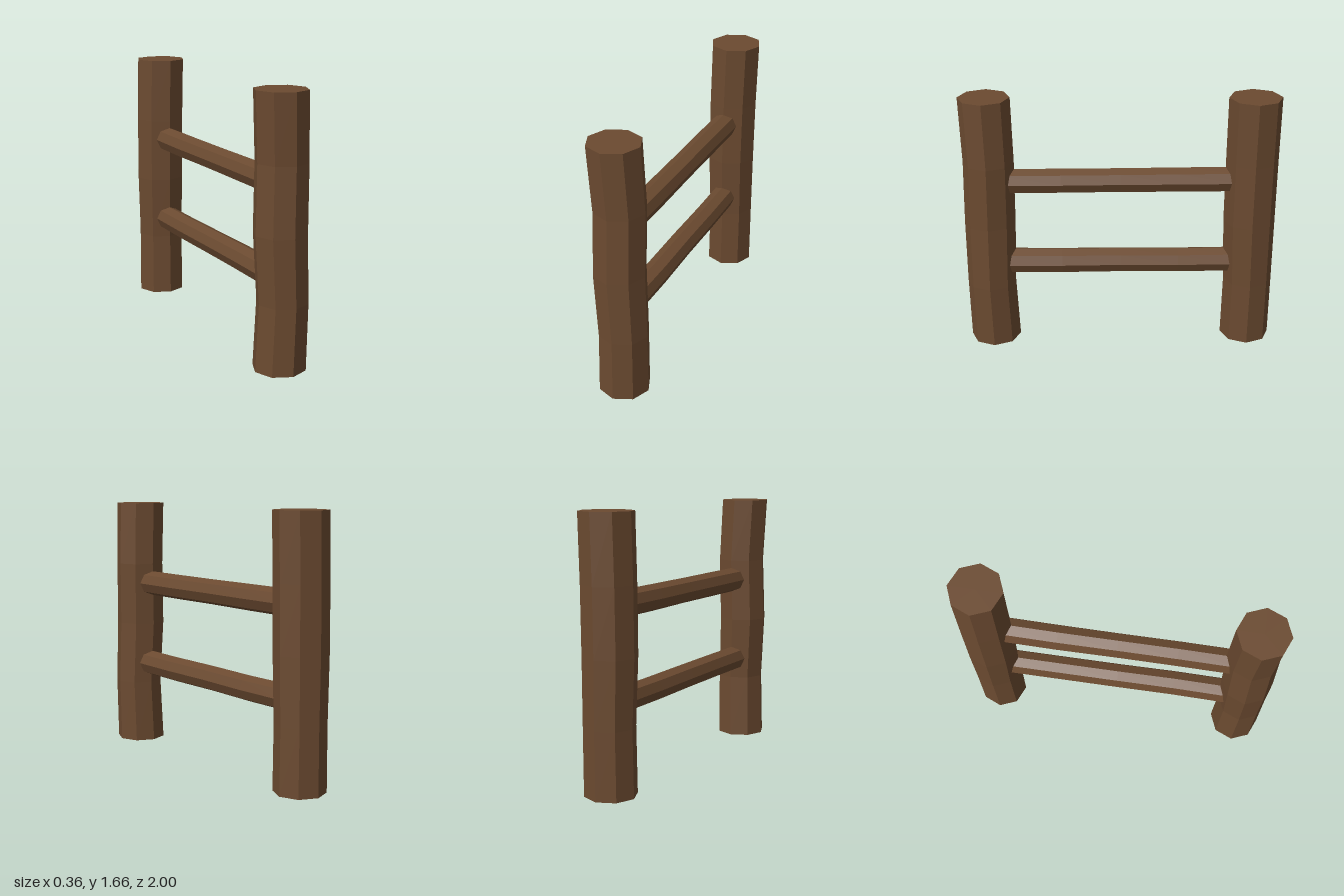
import * as THREE from 'three';

const SIDES = 8;

// Eight-sided log standing on y = 0; each ring is [centre x, centre z, radius], bottom to top
function logGeometry(length, rings) {
  const steps = rings.length - 1;
  const geometry = new THREE.CylinderGeometry(1, 1, length, SIDES, steps);
  geometry.translate(0, length / 2, 0);
  const p = geometry.attributes.position;
  for (let i = 0; i < p.count; i++) {
    const [cx, cz, r] = rings[Math.round((p.getY(i) / length) * steps)];
    p.setX(i, p.getX(i) * r + cx);
    p.setZ(i, p.getZ(i) * r + cz);
  }
  geometry.computeVertexNormals();
  return geometry;
}

export function createModel() {
  const group = new THREE.Group();
  const wood = new THREE.MeshStandardMaterial({ color: 0x6b4a30, flatShading: true });

  const add = (name, geometry) => {
    const mesh = new THREE.Mesh(geometry, wood);
    mesh.name = name;
    group.add(mesh);
    return mesh;
  };

  // Upright posts, slightly crooked
  add('frontPost', logGeometry(1.665, [
    [0, 0.837, 0.163],
    [0.01, 0.845, 0.157],
    [-0.007, 0.838, 0.163],
    [0.002, 0.828, 0.16],
    [-0.016, 0.838, 0.162],
  ]));
  add('backPost', logGeometry(1.665, [
    [0, -0.839, 0.161],
    [0.002, -0.842, 0.158],
    [-0.002, -0.834, 0.166],
    [0.002, -0.833, 0.166],
    [0.012, -0.833, 0.166],
  ]));

  // Horizontal rails, ends buried in the posts
  const railLength = 1.5;
  const rails = [
    ['lowerRail', 0.552, [
      [-0.002, 0.002, 0.082], [0, 0.004, 0.082], [0, 0, 0.082],
      [0.004, 0, 0.083], [0, -0.002, 0.084]]],
    ['upperRail', 1.117, [
      [0, -0.002, 0.083], [-0.002, 0, 0.083], [0, 0, 0.081],
      [0.002, 0.001, 0.082], [0, 0.001, 0.082]]],
  ];
  for (const [name, height, rings] of rails) {
    const rail = add(name, logGeometry(railLength, rings));
    rail.rotation.x = Math.PI / 2;
    rail.position.set(0, height, -railLength / 2);
  }

  return group;
}
